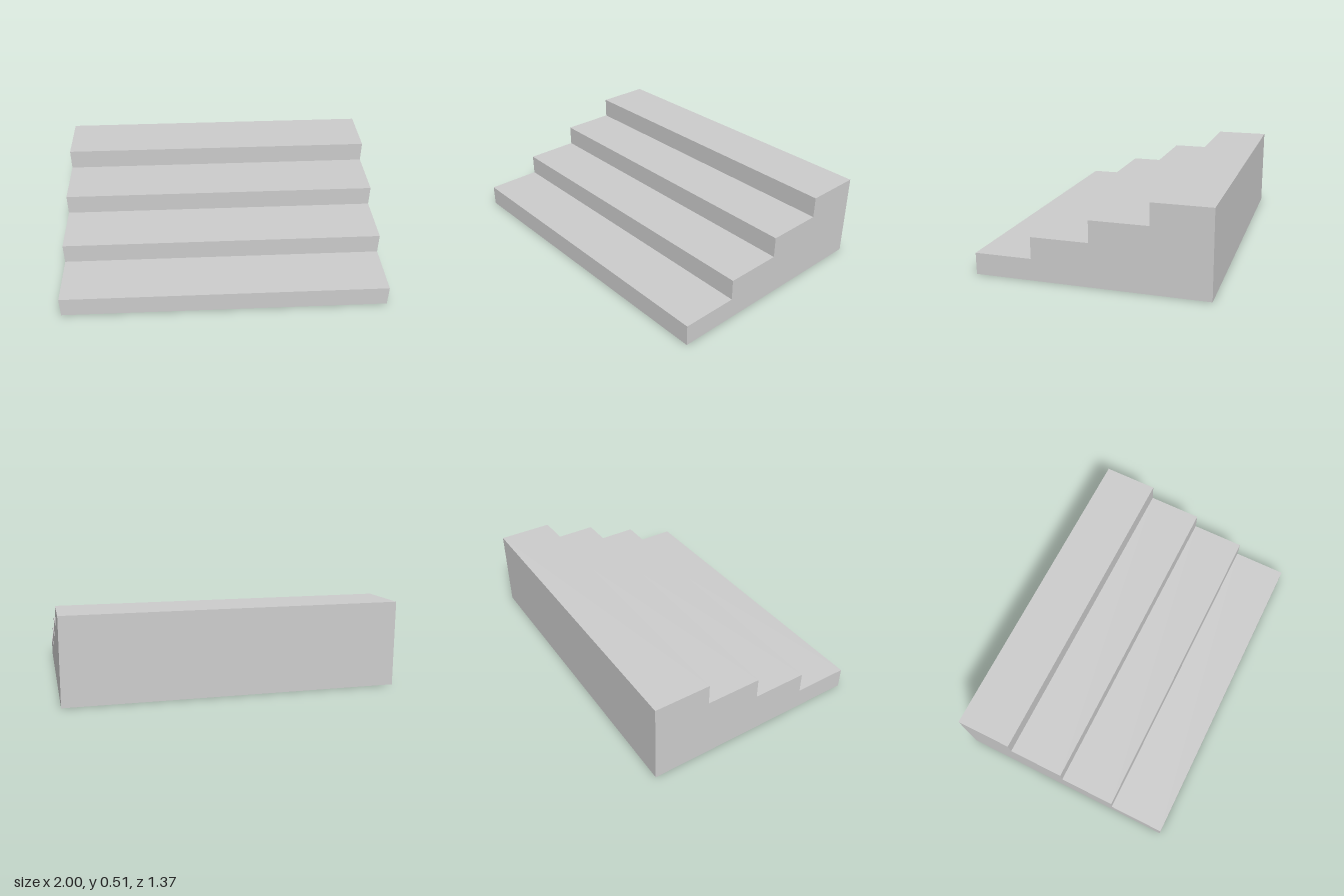
import * as THREE from 'three';

const STEPS = 4;
const WIDTH = 2;
const DEPTH = 1.37;
const HEIGHT = 0.515;

export function createModel() {
  const group = new THREE.Group();
  group.name = 'staircase';

  // Side profile: bottom edge, back, then the steps from front to back
  const run = DEPTH / STEPS;
  const rise = HEIGHT / STEPS;
  const profile = new THREE.Shape();
  profile.moveTo(DEPTH / 2, 0);
  profile.lineTo(-DEPTH / 2, 0);
  for (let i = 0; i < STEPS; i++) {
    const front = -DEPTH / 2 + i * run;
    profile.lineTo(front, (i + 1) * rise); // riser
    profile.lineTo(front + run, (i + 1) * rise); // tread
  }
  profile.closePath();

  // Solid block of steps, swept across the width with the low step at the front
  const geometry = new THREE.ExtrudeGeometry(profile, { depth: WIDTH, bevelEnabled: false });
  geometry.translate(0, 0, -WIDTH / 2);
  geometry.rotateY(Math.PI / 2);

  const steps = new THREE.Mesh(geometry, new THREE.MeshStandardMaterial({ color: 0xcccccc }));
  steps.name = 'steps';
  group.add(steps);
  return group;
}
